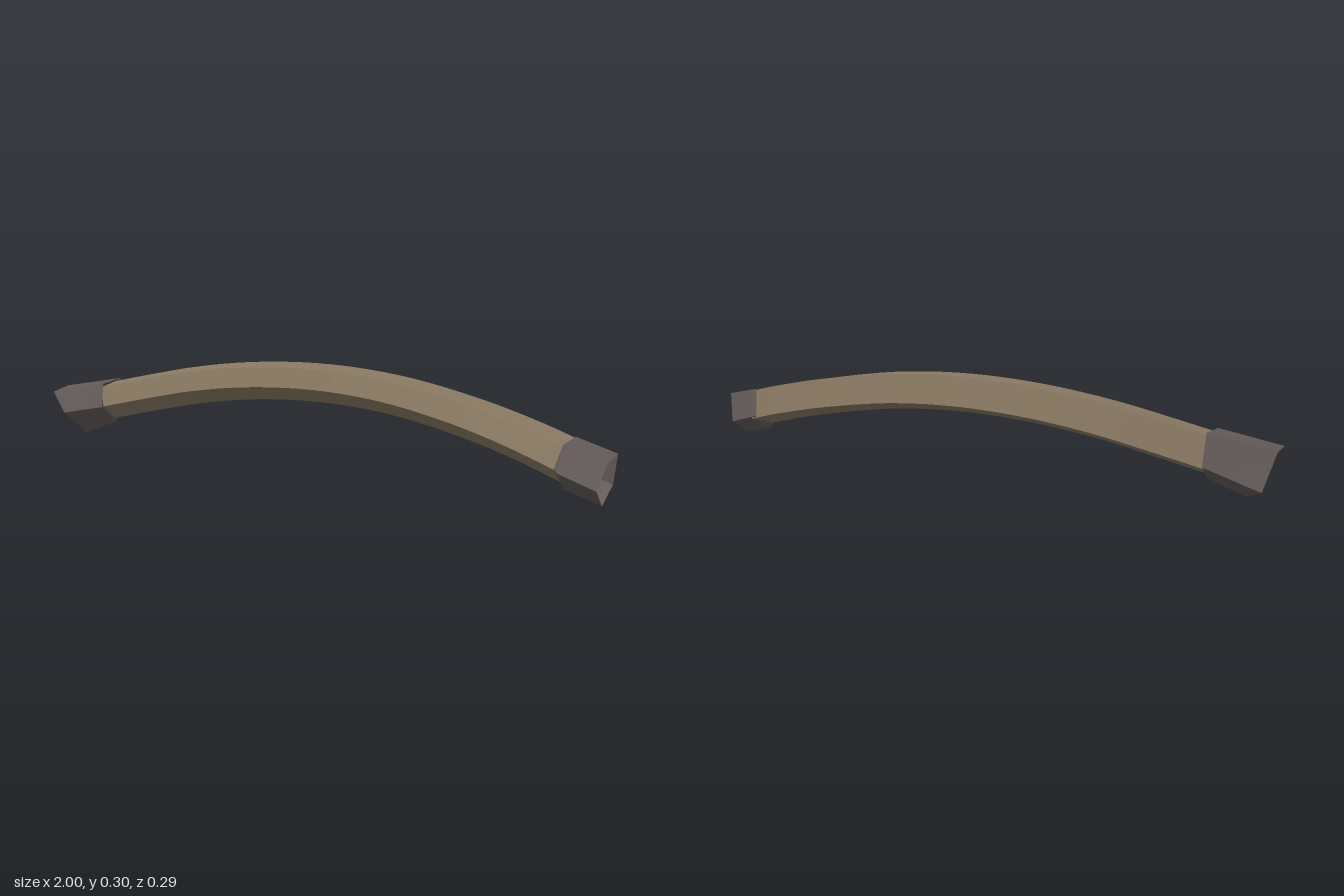
import * as THREE from 'three';

const wood = new THREE.MeshStandardMaterial({ color: 0x8a7a63, side: THREE.DoubleSide });
wood.name = 'brown wood';
const metal = new THREE.MeshStandardMaterial({ color: 0x645b59, side: THREE.DoubleSide });
metal.name = 'dark grey metal';

// Skin five-sided rings running from -x to +x: smooth along, sharp between sides
function loft(rings) {
  const pos = [], index = [], n = rings[0].length;
  for (let j = 0; j < n; j++) {
    rings.forEach((ring, i) => {
      const k = pos.length / 3;
      pos.push(...ring[j].toArray(), ...ring[(j + 1) % n].toArray());
      if (i < rings.length - 1) index.push(k, k + 2, k + 3, k, k + 3, k + 1);
    });
  }
  const g = new THREE.BufferGeometry();
  g.setAttribute('position', new THREE.Float32BufferAttribute(pos, 3));
  g.setIndex(index);
  g.computeVertexNormals();
  return g;
}

const vecs = (list) => list.map((p) => new THREE.Vector3(...p));

// Pentagon cross-section as [y, z] offsets
const SECTION = [[0.053, 0.048], [0.057, -0.047], [-0.035, -0.062], [-0.061, 0], [-0.01, 0.063]];

// Centre line of the arched limb
const path = new THREE.CatmullRomCurve3(vecs([
  [-0.83, 0.116, -0.032], [-0.65, 0.16, -0.053], [-0.47, 0.2, -0.07], [-0.25, 0.232, -0.082],
  [0, 0.245, -0.083], [0.25, 0.232, -0.071], [0.5, 0.194, -0.043], [0.7, 0.152, -0.004], [0.88, 0.106, 0.042],
]));

// Cross-section at u, tilted to stay square to the centre line
function sectionAt(u, scale = 1) {
  const c = path.getPoint(u), t = path.getTangent(u);
  return SECTION.map(([y, z]) => new THREE.Vector3(
    c.x - (y * t.y + z * t.z) / t.x * scale, c.y + y * scale, c.z + z * scale));
}

export function createModel() {
  const model = new THREE.Group();
  const add = (parent, name, rings, material) => {
    const mesh = new THREE.Mesh(loft(rings), material);
    mesh.name = name;
    parent.add(mesh);
  };

  // Long curved limb
  const rings = [];
  for (let i = 0; i <= 40; i++) rings.push(sectionAt(i / 40));
  add(model, 'limb', rings, wood);

  // Hollow end sleeves: open tip, rim, and a collar closing onto the limb
  const leftTip = vecs([[1, 0.14, 0.12], [1, 0.148, 0.01], [0.985, 0.05, -0.005], [0.975, 0.002, 0.065], [0.98, 0.065, 0.145]]);
  const leftRim = vecs([[0.862, 0.175, 0.09], [0.866, 0.178, -0.015], [0.86, 0.085, -0.03], [0.853, 0.03, 0.04], [0.856, 0.095, 0.115]]);
  const rightTip = vecs([[-0.99, 0.15, 0.045], [-1, 0.155, -0.05], [-0.967, 0.035, -0.085], [-0.9, 0.002, -0.015], [-0.93, 0.085, 0.067]]);
  const rightRim = vecs([[-0.797, 0.19, 0.017], [-0.8, 0.193, -0.088], [-0.795, 0.095, -0.105], [-0.79, 0.047, -0.035], [-0.792, 0.112, 0.036]]);

  const left = new THREE.Group();
  left.name = 'leftSleeve';
  add(left, 'leftSleeveWall', [leftRim, leftTip], metal);
  add(left, 'leftSleeveCollar', [sectionAt(0.985), leftRim], metal);

  const right = new THREE.Group();
  right.name = 'rightSleeve';
  add(right, 'rightSleeveWall', [rightTip, rightRim], metal);
  add(right, 'rightSleeveCollar', [rightRim, sectionAt(0.02)], metal);

  model.add(left, right);
  return model;
}
